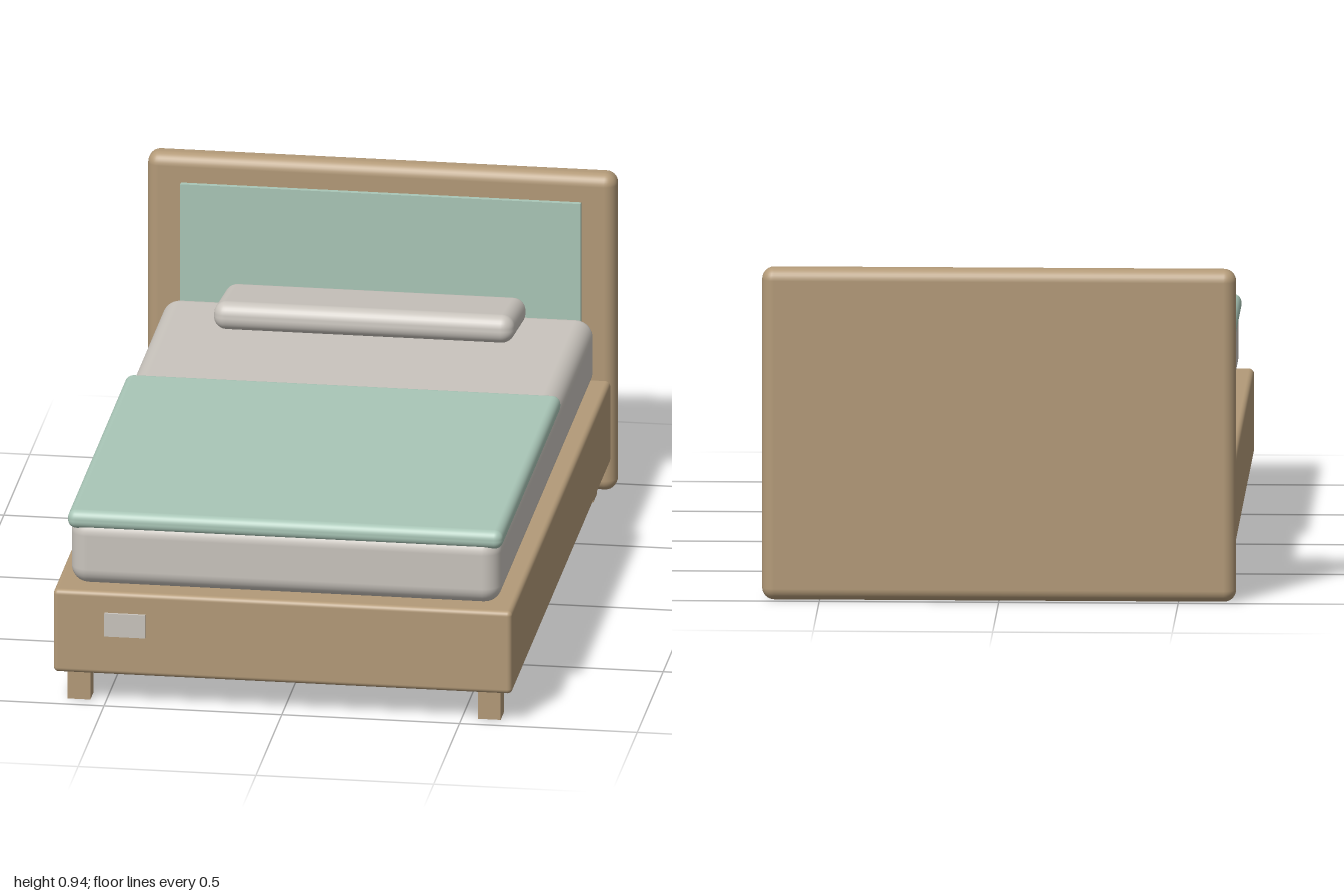
import * as THREE from 'three';
import { RoundedBoxGeometry } from 'three/addons/geometries/RoundedBoxGeometry.js';

const material = (name, color) => {
  const m = new THREE.MeshStandardMaterial({ color });
  m.name = name;
  return m;
};

export function createModel() {
  const bed = new THREE.Group();
  bed.name = 'bed';
  const wood = material('tan wood', 0xb39a78);
  const linen = material('pale grey linen', 0xc9c4bd);
  const green = material('sage green fabric', 0xa9c6b7);

  // Box given by its [min, max] ranges, with optional rounded edges
  const block = (name, mat, [x0, x1], [y0, y1], [z0, z1], radius = 0) => {
    const size = [x1 - x0, y1 - y0, z1 - z0];
    const geometry = radius
      ? new RoundedBoxGeometry(...size, 4, radius)
      : new THREE.BoxGeometry(...size);
    const mesh = new THREE.Mesh(geometry, mat);
    mesh.name = name;
    mesh.position.set((x0 + x1) / 2, (y0 + y1) / 2, (z0 + z1) / 2);
    bed.add(mesh);
    return mesh;
  };

  // Wooden base and headboard
  block('bedFrame', wood, [-0.645, 0.645], [0.088, 0.332], [-0.93, 0.988], 0.014);
  block('headboard', wood, [-0.66, 0.66], [0, 0.937], [-1, -0.92], 0.034);
  block('headboardPanel', green, [-0.563, 0.563], [0.42, 0.857], [-0.925, -0.905]);

  // Four square legs
  for (const side of [-1, 1]) {
    for (const [end, z] of [['front', 0.922], ['back', -0.872]]) {
      const x = side * 0.577;
      block(`${end}${side > 0 ? 'Left' : 'Right'}Leg`, wood,
        [x - 0.032, x + 0.032], [0, 0.1], [z - 0.032, z + 0.032]);
    }
  }

  // Bedding
  block('mattress', linen, [-0.605, 0.605], [0.331, 0.53], [-0.9, 0.948], 0.05);
  block('blanket', green, [-0.612, 0.612], [0.497, 0.551], [-0.2, 0.948], 0.024);
  const pillow = block('pillow', linen, [-0.423, 0.423], [0.538, 0.618], [-0.838, -0.562], 0.036);
  pillow.rotation.x = -0.12;

  // Small blank tag on the foot end
  block('footTag', linen, [-0.5, -0.385], [0.204, 0.272], [0.987, 0.996]);

  return bed;
}
